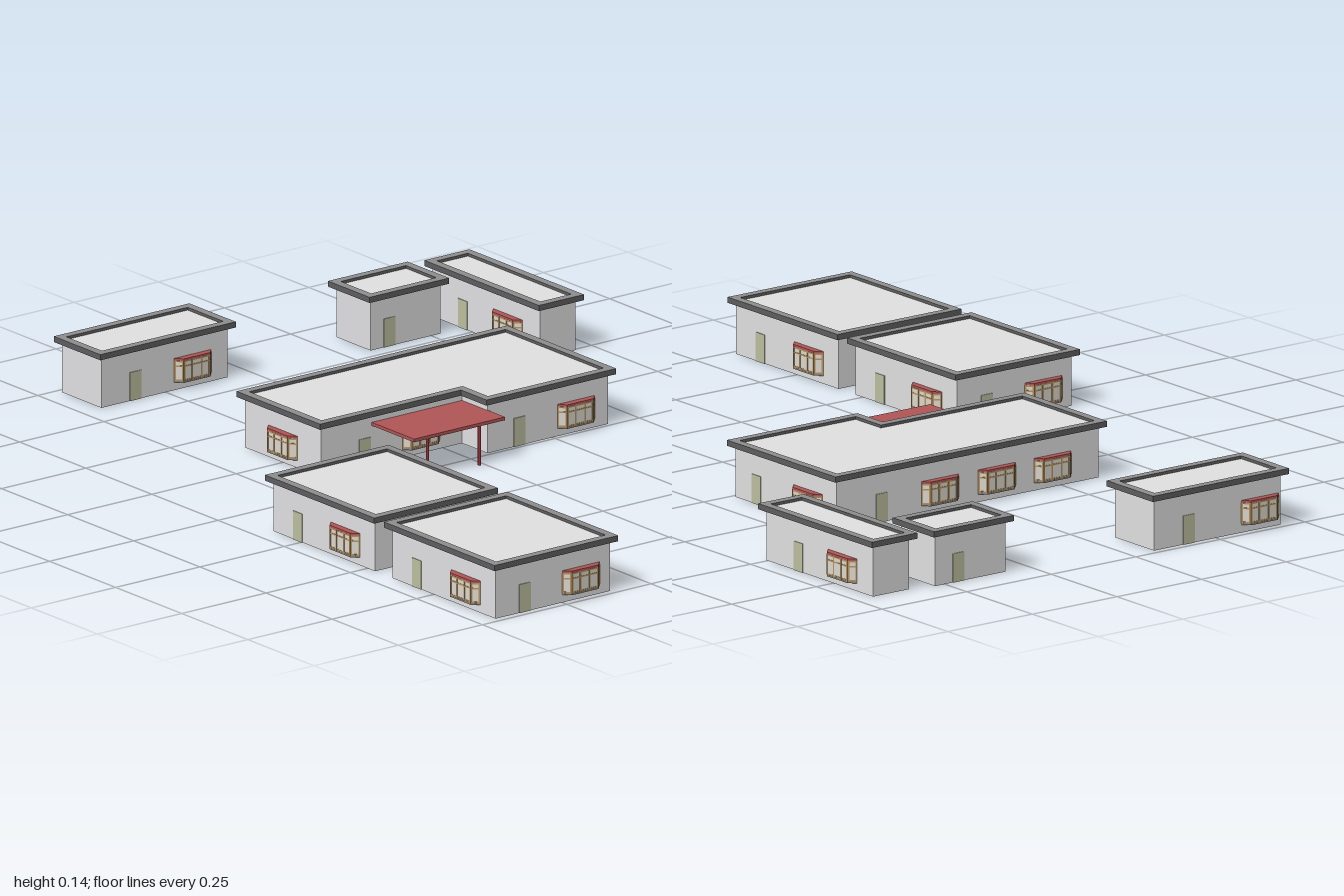
import * as THREE from 'three';

const mat = (name, color) => {
  const m = new THREE.MeshStandardMaterial({ color });
  m.name = name;
  return m;
};
const M = {
  wall: mat('wall grey', 0xe1e1e3),
  roof: mat('roof grey', 0xe1e1e1),
  curb: mat('curb grey', 0x8e8e8e),
  fascia: mat('fascia dark grey', 0x5e5e60),
  door: mat('door olive', 0xbdc0a0),
  frame: mat('window frame tan', 0xb8935f),
  glass: mat('window glass', 0xdcd9d0),
  sill: mat('window sill grey', 0x8a8680),
  canopy: mat('canopy red', 0xb25656),
  post: mat('post dark red', 0x903238),
};

const EAVE = 0.014; // roof overhang past the walls

// Footprints are given at the roof edge; doors and windows as positions along each wall
const BUILDINGS = [
  { name: 'backLeftBlock', x0: -0.455, x1: -0.053, z0: -0.997, z1: -0.821,
    windows: { front: [-0.17], back: [-0.38] }, doors: { front: [-0.34], back: [-0.17] } },
  { name: 'smallShed', x0: 0.306, x1: 0.542, z0: -0.93, z1: -0.773,
    windows: {}, doors: { front: [0.375], back: [0.46] } },
  { name: 'narrowBlock', x0: 0.579, x1: 0.713, z0: -0.914, z1: -0.481,
    windows: { east: [-0.785], west: [-0.615] }, doors: { east: [-0.617], west: [-0.785] } },
  { name: 'mainBlock', x0: -0.375, x1: 0.428, z0: -0.408, z1: 0.004, nx: 0.043, nz: -0.092,
    windows: { front: [0.32], notch: [-0.065], back: [-0.225, -0.06, 0.108], east: [-0.287], west: [-0.25] },
    doors: { front: [0.151], notch: [-0.232], back: [0.28], east: [-0.091] } },
  ...[['innerBlock', 0.129, 0.542], ['frontBlock', 0.579, 0.997]].map(([name, z0, z1]) => ({
    name, x0: -0.712, x1: -0.345, z0, z1,
    windows: { front: [-0.445], back: [-0.615], east: [z0 + 0.126], west: [z1 - 0.126] },
    doors: { front: [-0.612], back: [-0.448], east: [z1 - 0.108], west: [z0 + 0.108] },
  })),
];

function mesh(parent, name, geometry, material, x = 0, y = 0, z = 0) {
  const m = new THREE.Mesh(geometry, material);
  m.name = name;
  m.position.set(x, y, z);
  parent.add(m);
  return m;
}
const box = (parent, name, material, w, h, d, x, y, z) =>
  mesh(parent, name, new THREE.BoxGeometry(w, h, d), material, x, y, z);

function group(parent, name, x, y, z, turn) {
  const g = new THREE.Group();
  g.name = name;
  g.position.set(x, y, z);
  g.rotation.y = turn;
  parent.add(g);
  return g;
}

// Footprint corners moved inward by d, as (x, -z)
function outline(b, d) {
  const x0 = b.x0 + d, x1 = b.x1 - d, z0 = b.z0 + d, z1 = b.z1 - d;
  const front = b.nx === undefined
    ? [[x0, z1]]
    : [[x0, b.nz - d], [b.nx + d, b.nz - d], [b.nx + d, z1]];
  return [...front, [x1, z1], [x1, z0], [x0, z0]].map(([x, z]) => new THREE.Vector2(x, -z));
}

// Horizontal slab of any outline between two heights
const extrudeUp = (shape, y0, y1) =>
  new THREE.ExtrudeGeometry(shape, { depth: y1 - y0, bevelEnabled: false })
    .rotateX(-Math.PI / 2).translate(0, y0, 0);

// Building slab with an optional opening
function slab(b, outer, inner, y0, y1) {
  const shape = new THREE.Shape(outline(b, outer));
  if (inner !== null) shape.holes.push(new THREE.Path(outline(b, inner)));
  return extrudeUp(shape, y0, y1);
}

// Group on a wall, its local +z pointing outward
function onWall(parent, b, side, t, name) {
  const [x, z, turn] = {
    front: [t, b.z1 - EAVE, 0],
    notch: [t, (b.nz ?? 0) - EAVE, 0],
    back: [t, b.z0 + EAVE, Math.PI],
    east: [b.x1 - EAVE, t, Math.PI / 2],
    west: [b.x0 + EAVE, t, -Math.PI / 2],
  }[side];
  return group(parent, name, x, 0, z, turn);
}

// Glazed panel facing local +z, with upright bars at the given offsets
function addPanel(g, w, h, bars) {
  box(g, 'glass', M.glass, w, h, 0.003, 0, 0, -0.0015);
  for (const x of bars) box(g, 'mullion', M.frame, 0.004, h, 0.005, x, 0, -0.0015);
  for (const y of [-h / 2 + 0.002, h * 0.22, h / 2 - 0.002])
    box(g, 'transom', M.frame, w, 0.0035, 0.0045, 0, y, -0.0015);
}

// Bay window with angled sides, seen from indoors as well
function addWindow(g) {
  const W = 0.055, F = 0.039, D = 0.016, H = 0.05, Y = 0.048;
  addPanel(group(g, 'bayFront', 0, Y, D, 0), F * 2, H, [-0.037, -0.014, 0.014, 0.037]);
  for (const s of [-1, 1])
    addPanel(group(g, 'baySide', s * (W + F) / 2, Y, D / 2, s * Math.PI / 4), 0.0226, H, [-0.0093, 0.0093]);
  addPanel(group(g, 'innerPane', 0, Y, -0.0022, 0), W * 2 - 0.004, H, [-0.051, -0.018, 0.018, 0.051]);
  const bay = new THREE.Shape(
    [[-W, 0], [-F, -D - 0.001], [F, -D - 0.001], [W, 0]].map(([x, y]) => new THREE.Vector2(x, y)));
  mesh(g, 'bayRoof', extrudeUp(bay, Y + H / 2, Y + H / 2 + 0.005), M.canopy);
  mesh(g, 'baySill', extrudeUp(bay, Y - H / 2 - 0.004, Y - H / 2), M.sill);
}

// Door leaf shown on both faces of the wall
const addDoor = (g) => box(g, 'doorPanel', M.door, 0.034, 0.07, 0.007, 0, 0.035, -0.0015);

function addBuilding(root, b) {
  const g = group(root, b.name, 0, 0, 0, 0);
  mesh(g, 'walls', slab(b, EAVE, EAVE + 0.003, 0, 0.123), M.wall);
  mesh(g, 'roofDeck', slab(b, EAVE + 0.001, null, 0.122, 0.13), M.roof);
  mesh(g, 'roofCurb', slab(b, 0, 0.021, 0.123, 0.137), [M.curb, M.fascia]);
  for (const [side, list] of Object.entries(b.windows))
    for (const t of list) addWindow(onWall(g, b, side, t, 'window'));
  for (const [side, list] of Object.entries(b.doors))
    for (const t of list) addDoor(onWall(g, b, side, t, 'door'));
}

export function createModel() {
  const root = new THREE.Group();
  root.name = 'buildingCompound';
  for (const b of BUILDINGS) addBuilding(root, b);

  // Entrance canopy on two round posts
  const canopy = group(root, 'entranceCanopy', 0, 0, 0, 0);
  box(canopy, 'canopySlab', M.canopy, 0.27, 0.008, 0.161, -0.076, 0.101, -0.0265);
  for (const x of [-0.167, -0.013])
    mesh(canopy, 'canopyPost', new THREE.CylinderGeometry(0.004, 0.004, 0.098, 16), M.post, x, 0.049, 0.049);
  return root;
}
